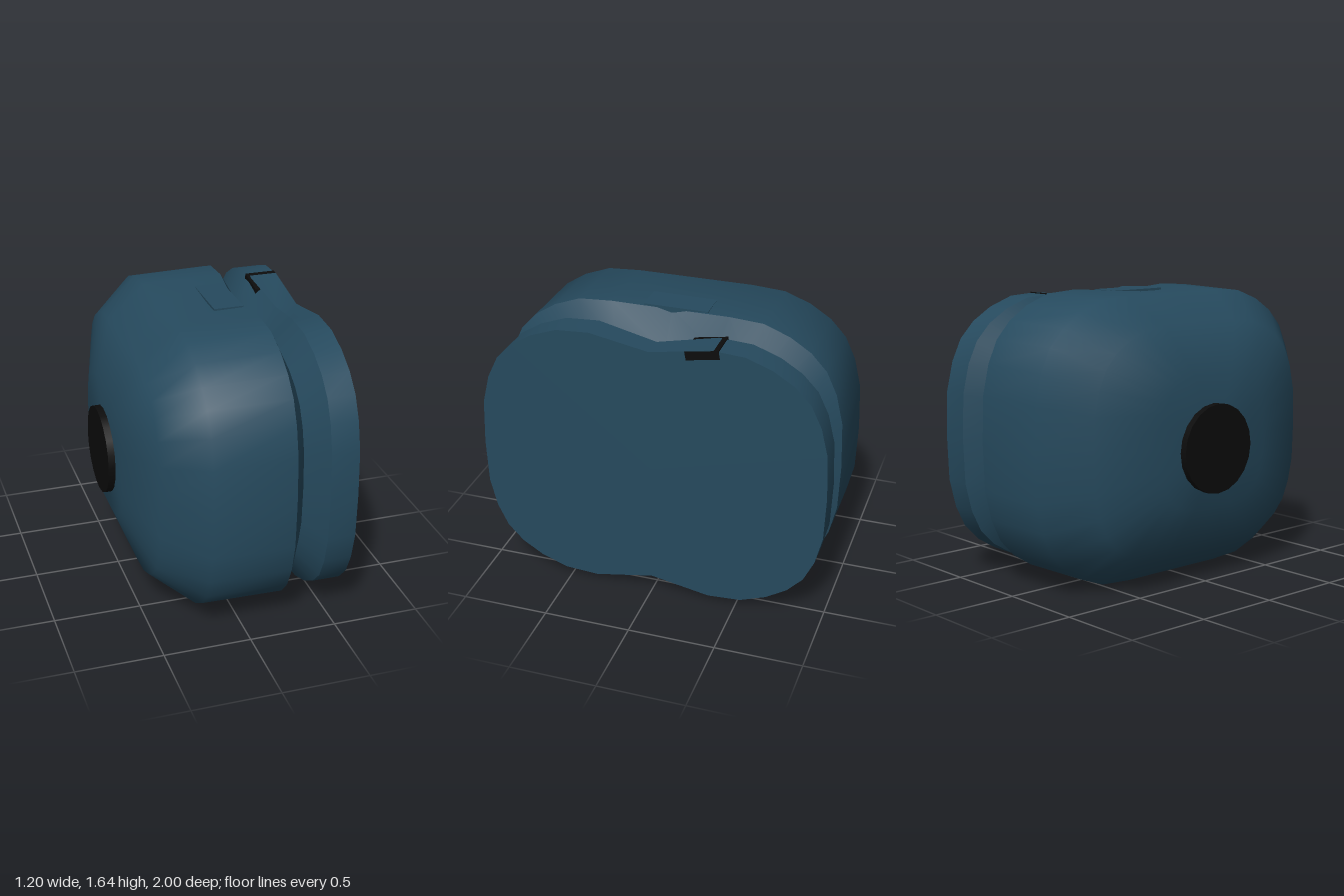
import * as THREE from 'three';

const CY = 0.825;
// Quarter outline (z, y) of the rounded section; the centre line point is added per ring
const QUARTER = [[1, 0], [0.99, 0.33], [0.95, 0.54], [0.89, 0.7], [0.8, 0.82], [0.68, 0.915], [0.53, 0.985], [0.34, 1]];

// One cross-section: x, half depth, half height, centre height factor, x shift at the centre
function ring(x, hz, hy, dip = 1, shift = 0) {
  const mid = (s) => [x + shift, CY + s * hy * dip, 0];
  const q = (sz, sy) => QUARTER.map(([z, y]) => [x, CY + sy * y * hy, sz * z * hz]);
  return [
    ...q(1, 1), mid(1),
    ...q(-1, 1).reverse(), ...q(-1, -1).slice(1),
    mid(-1), ...q(1, -1).reverse().slice(0, -1),
  ];
}

// Smooth skin through rings, with an optional cap at either end
function loft(rings, capStart, capEnd) {
  const n = rings[0].length;
  const pos = rings.flat(2);
  const idx = [];
  for (let i = 0; i < rings.length - 1; i++) {
    for (let j = 0; j < n; j++) {
      const a = i * n + j, b = i * n + (j + 1) % n;
      idx.push(a, a + n, b + n, a, b + n, b);
    }
  }
  const cap = (r, flip) => {
    const c = pos.length / 3;
    pos.push(rings[r][0][0], CY, 0);
    for (let j = 0; j < n; j++) {
      const a = r * n + j, b = r * n + (j + 1) % n;
      idx.push(c, flip ? b : a, flip ? a : b);
    }
  };
  if (capStart) cap(0, false);
  if (capEnd) cap(rings.length - 1, true);
  const g = new THREE.BufferGeometry();
  g.setAttribute('position', new THREE.Float32BufferAttribute(pos, 3));
  g.setIndex(idx);
  g.computeVertexNormals();
  return g;
}

export function createModel() {
  const group = new THREE.Group();
  const blue = new THREE.MeshStandardMaterial({ color: 0x264a5e });
  blue.name = 'slate blue';
  const black = new THREE.MeshStandardMaterial({ color: 0x0c0c0c });
  black.name = 'black';
  const add = (name, geo, mat) => {
    const m = new THREE.Mesh(geo, mat);
    m.name = name;
    group.add(m);
    return m;
  };

  const back = ring(-0.56, 0.4, 0.37);
  const shoulder = ring(-0.45, 0.78, 0.65);
  const full = ring(-0.22, 1, 0.81);
  const edge = ring(0.25, 1, 0.82, 0.975, -0.04);
  const groove = ring(0.34, 0.85, 0.65, 0.92);
  const rimEdge = ring(0.44, 1, 0.785, 0.92, 0.03);
  const rimFace = ring(0.6, 1, 0.785, 0.92);

  // Rounded shell, V groove and rim, separate so the edges stay sharp
  add('shell', loft([back, shoulder, full, edge], true, false), blue);
  add('grooveInnerWall', loft([edge, groove]), blue);
  add('grooveOuterWall', loft([groove, rimEdge]), blue);
  add('rim', loft([rimEdge, rimFace]), blue);
  add('rimCap', loft([rimFace, rimFace], false, true), blue);

  // Round pad on the closed end
  const pad = add('endPad', new THREE.CylinderGeometry(0.255, 0.255, 0.06, 20), black);
  pad.rotation.z = Math.PI / 2;
  pad.position.set(-0.57, 0.79, 0);

  // Flat latch plate on top of the shell
  const latch = add('latchPlate', new THREE.BoxGeometry(0.17, 0.04, 0.37), blue);
  latch.position.set(0.135, 1.622, -0.025);

  // Dark catch sloping into the rim's notch
  const catchPlate = add('catch', new THREE.BoxGeometry(0.18, 0.05, 0.19), black);
  catchPlate.rotation.x = 0.17;
  catchPlate.position.set(0.511, 1.573, -0.295);

  return group;
}
